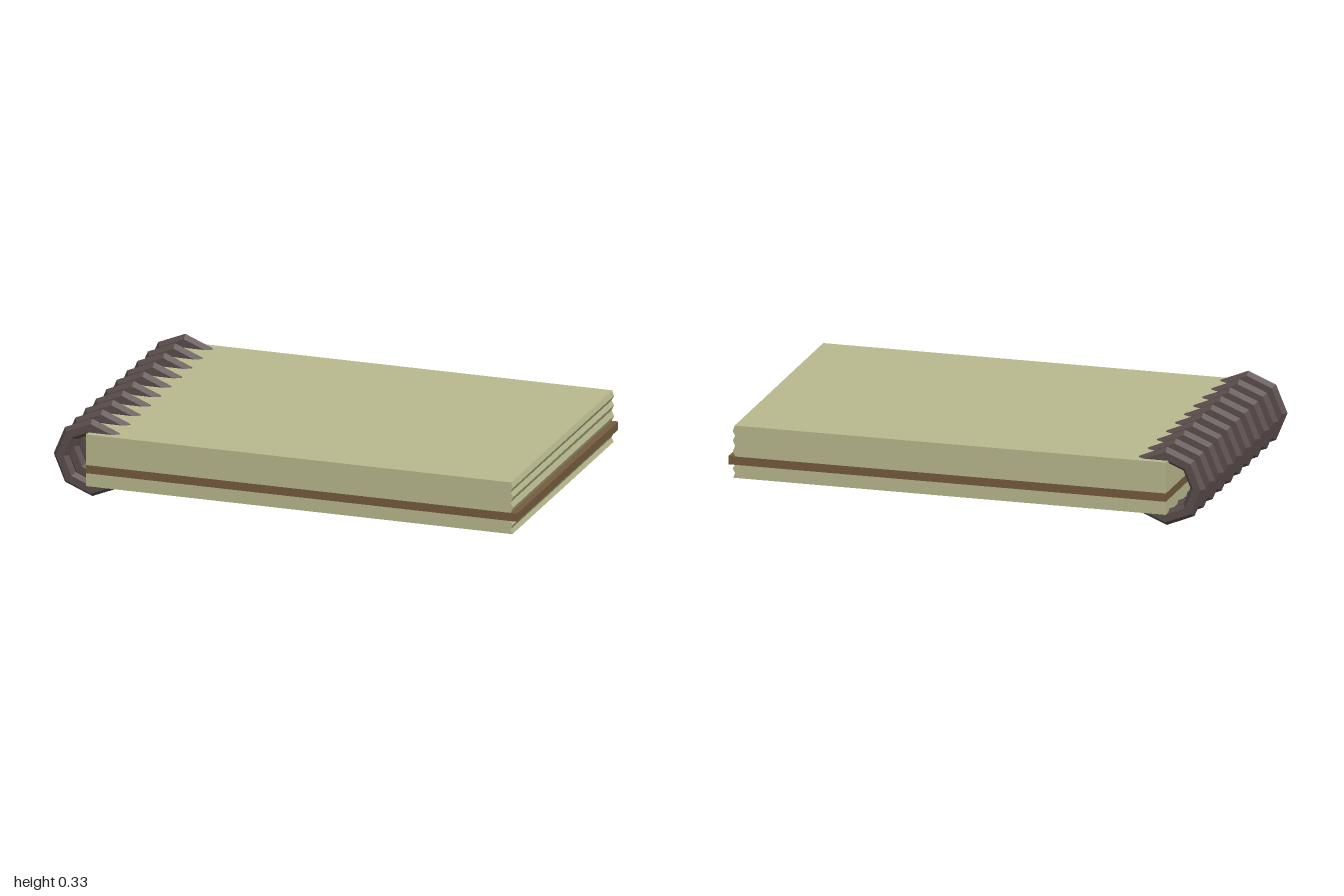
import * as THREE from 'three';

const DEPTH = 1.23, LEFT = -0.845;

function material(color) {
  return new THREE.MeshStandardMaterial({ color, flatShading: true });
}

// Slab with a flat spine side and a right edge given by [x, y] points, bottom to top
function slab(name, edge, mat) {
  const shape = new THREE.Shape();
  shape.moveTo(LEFT, edge[0][1]);
  edge.forEach(([x, y]) => shape.lineTo(x, y));
  shape.lineTo(LEFT, edge[edge.length - 1][1]);
  shape.closePath();
  const geo = new THREE.ExtrudeGeometry(shape, { depth: DEPTH, bevelEnabled: false });
  geo.translate(0, 0, -DEPTH / 2);
  const mesh = new THREE.Mesh(geo, mat);
  mesh.name = name;
  return mesh;
}

export function createModel() {
  const group = new THREE.Group();
  group.name = 'ringNotebook';
  const paper = material(0xb9b98f);
  const brown = material(0x755c3e);
  const metal = material(0x5a4e4c);

  // Paper stacks with uneven sheet edges, and the divider between them
  group.add(slab('lowerPages', [[0.98, 0.06], [0.972, 0.08], [0.982, 0.1], [0.972, 0.115]], paper));
  group.add(slab('divider', [[1, 0.115], [1, 0.15]], brown));
  group.add(slab('upperPages', [[0.972, 0.15], [0.982, 0.172], [0.972, 0.195], [0.982, 0.217],
    [0.972, 0.237], [0.982, 0.257], [0.974, 0.28]], paper));

  // Row of octagonal binding rings, narrowed along the spine
  const rings = new THREE.Group();
  rings.name = 'bindingRings';
  const ringGeo = new THREE.TorusGeometry(0.132, 0.033, 6, 8);
  ringGeo.scale(1, 1, 0.74);
  const count = 10, span = 1.132;
  for (let i = 0; i < count; i++) {
    const ring = new THREE.Mesh(ringGeo, metal);
    ring.name = 'bindingRing' + (i + 1);
    ring.position.set(-0.835, 0.168, -span / 2 + (span * i) / (count - 1));
    rings.add(ring);
  }
  group.add(rings);
  return group;
}
